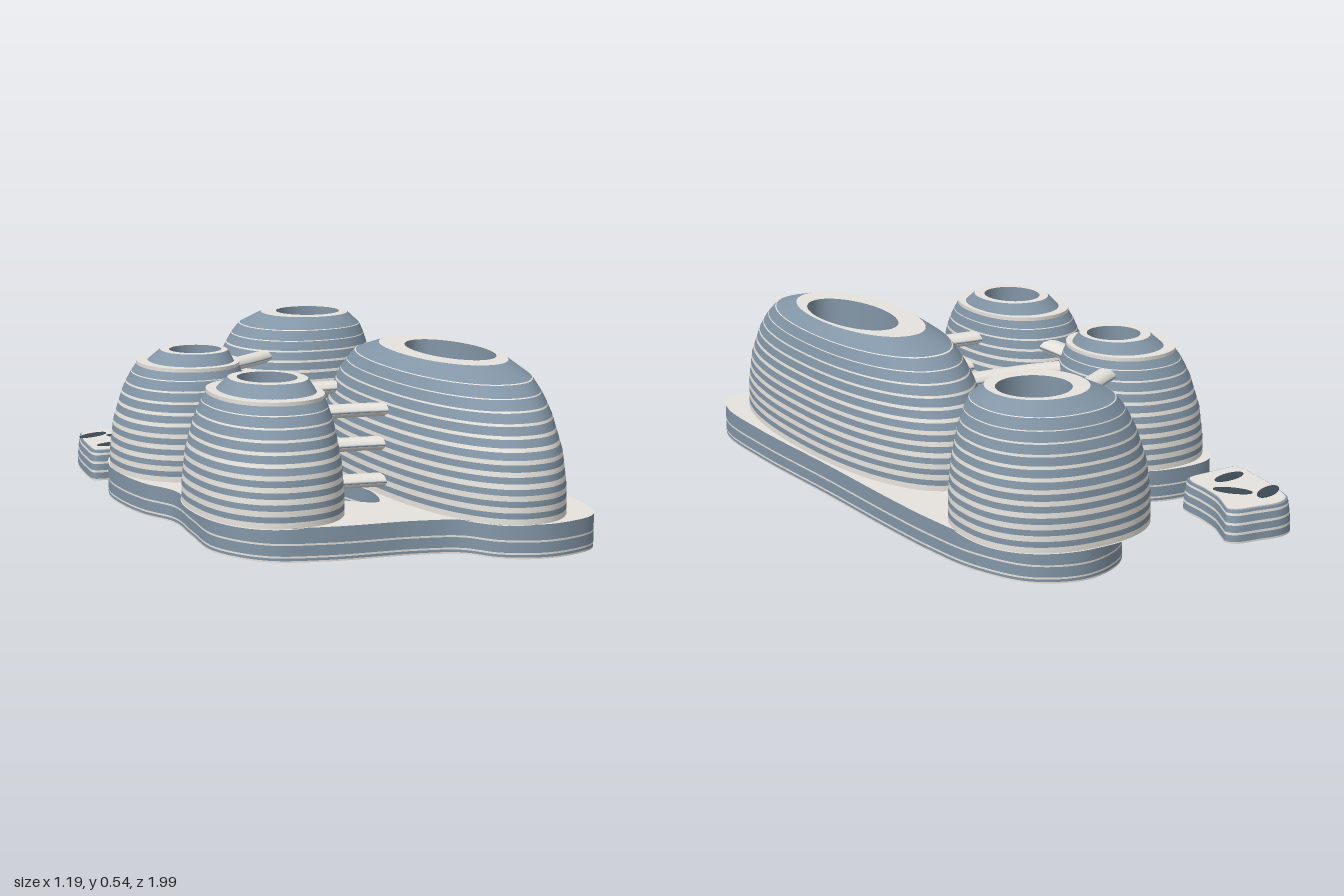
import * as THREE from 'three';

const mat = (name, color) => {
  const m = new THREE.MeshStandardMaterial({ color, side: THREE.DoubleSide });
  m.name = name;
  return m;
};

export function createModel() {
  const group = new THREE.Group();
  const glass = mat('blue glass', 0x8396a7);
  const slab = mat('pale slab', 0xe6e2dc);
  const dark = mat('dark glazing', 0x3c4a54);
  const BASE = 0.107;

  const add = (name, geo, material, parent = group) => {
    const m = new THREE.Mesh(geo, material);
    m.name = name;
    parent.add(m);
    return m;
  };
  const part = (name) => {
    const g = new THREE.Group();
    g.name = name;
    group.add(g);
    return g;
  };

  // Plan shapes: [x, z] points, drawn with z flipped so extrusion rises along y
  const spline = (pts) => new THREE.CatmullRomCurve3(
    pts.map(([x, z]) => new THREE.Vector3(x, -z, 0)), true, 'centripetal')
    .getPoints(pts.length * 8).slice(0, -1).map((p) => new THREE.Vector2(p.x, p.y));
  const raise = (shape, y0, y1) => new THREE.ExtrudeGeometry(shape,
    { depth: y1 - y0, bevelEnabled: false, curveSegments: 16 }).rotateX(-Math.PI / 2).translate(0, y0, 0);

  // Open wall strip between two matching closed outlines
  const wall = (low, high, y0, y1) => {
    const n = low.length, idx = [];
    const pos = [...low.map((p) => [p.x, y0, -p.y]), ...high.map((p) => [p.x, y1, -p.y])].flat();
    for (let i = 0; i < n; i++) {
      const j = (i + 1) % n;
      idx.push(i, j, n + i, j, n + j, n + i);
    }
    const geo = new THREE.BufferGeometry();
    geo.setAttribute('position', new THREE.Float32BufferAttribute(pos, 3));
    geo.setIndex(idx);
    geo.computeVertexNormals();
    return geo;
  };

  // Podium: a hollow deck with two courtyards, its walls banded in glass and slab
  const outline = spline([
    [-0.58, -0.38], [-0.51, -0.52], [-0.36, -0.54], [-0.24, -0.5], [-0.17, -0.42], [-0.08, -0.44], [-0.02, -0.54],
    [0.02, -0.72], [0.12, -0.9], [0.29, -0.965], [0.44, -0.9], [0.53, -0.72], [0.56, -0.52], [0.572, -0.3], [0.58, 0.1],
    [0.595, 0.55], [0.58, 0.84], [0.53, 0.945], [0.45, 0.985], [0.33, 0.995], [0.21, 0.94], [0.13, 0.84], [0, 0.795],
    [-0.28, 0.755], [-0.45, 0.69], [-0.55, 0.52], [-0.54, 0.3], [-0.525, 0.1], [-0.575, -0.04], [-0.595, -0.22]]);
  const courts = [
    [[0.03, -0.43], [0.1, -0.34], [0.13, -0.25], [0.09, -0.14], [-0.02, -0.11], [-0.11, -0.14], [-0.11, -0.3], [-0.05, -0.42]],
    [[-0.04, 0.02], [0.01, 0.08], [0.03, 0.22], [0.05, 0.36], [0.03, 0.47], [0, 0.52], [-0.08, 0.46], [-0.14, 0.34], [-0.11, 0.17], [-0.08, 0.06]],
  ].map(spline);
  const podium = part('podium');
  const deck = new THREE.Shape(outline);
  deck.holes = courts.map((c) => new THREE.Path(c));
  add('podiumDeck', raise(deck, 0.1, BASE), [slab, glass], podium);
  const levels = [0, 0.005, 0.013, 0.019, 0.052, 0.058, 0.1];
  for (const loop of [outline, ...courts]) {
    for (let i = 0; i < 6; i++) {
      add('podiumWall', wall(loop, loop, levels[i], levels[i + 1]), i % 2 ? glass : slab, podium);
    }
  }

  // Loft of superellipse bands; every band is [lower ring, upper ring, material index]
  const SEG = 72;
  const pw = (v, e) => Math.sign(v) * Math.abs(v) ** e;
  const loft = (bands) => {
    const pos = [], idx = [], geo = new THREE.BufferGeometry();
    bands.forEach(([lo, hi, material], b) => {
      const o = b * SEG * 2;
      for (const r of [lo, hi]) {
        for (let i = 0; i < SEG; i++) {
          const a = (i / SEG) * Math.PI * 2;
          pos.push(r.cx + r.rx * pw(Math.cos(a), r.e), r.y, r.cz + r.rz * pw(Math.sin(a), r.e));
        }
      }
      geo.addGroup(idx.length, SEG * 6, material);
      for (let i = 0; i < SEG; i++) {
        const j = (i + 1) % SEG;
        idx.push(o + i, o + SEG + i, o + j, o + j, o + SEG + i, o + SEG + j);
      }
    });
    geo.setAttribute('position', new THREE.Float32BufferAttribute(pos, 3));
    geo.setIndex(idx);
    geo.computeVertexNormals();
    return geo;
  };

  // Blend from base ellipse to roof ellipse, by depth below the roof
  const PROFILE = [[0, 1], [0.04, 0.58], [0.085, 0.4], [0.14, 0.26], [0.24, 0.09], [0.34, 0.02], [0.5, 0]];
  const blend = (d) => {
    const k = Math.max(1, PROFILE.findIndex((p) => p[0] >= d));
    const [d0, w0] = PROFILE[k - 1], [d1, w1] = PROFILE[k];
    return THREE.MathUtils.mapLinear(d, d0, d1, w0, w1);
  };

  // Towers: base, roof and opening are [cx, cz, rx, rz], squarer toward the base
  const tower = (name, top, base, roof, hole, ledge) => {
    const ring = (y, [cx, cz, rx, rz], e, s = 1) => ({ y, cx, cz, rx: rx * s, rz: rz * s, e });
    const at = (y, w) => ring(y, base.map((v, i) => THREE.MathUtils.lerp(v, roof[i], w)), 0.87 + 0.08 * w);
    const shell = (y) => at(y, blend(top - y));
    const bands = [[ring(BASE - 0.002, base, 0.87, 0), ring(BASE - 0.002, base, 0.87), 1]];
    const end = top - 0.04, n = Math.round((end - BASE) / 0.036), step = (end - BASE) / n;
    for (let i = 0; i < n; i++) {
      const y0 = BASE + i * step, y2 = y0 + step;
      const y1 = y0 + step * THREE.MathUtils.lerp(0.5, 0.08, (i / (n - 1)) ** 1.8);
      bands.push([shell(y0), shell(y1), 1], [shell(y1), shell(y2), 0]);
    }
    // Upper storey, with a projecting ledge on the smaller towers
    if (ledge) {
      const a = at(end - 0.008, 0.54), b = at(end + 0.004, 0.54), c = at(end + 0.004, 0.76);
      bands.push([shell(end - 0.008), a, 1], [a, b, 1], [b, c, 1], [c, at(top, 1), 0]);
    } else {
      bands.push([shell(end), shell(end + 0.002), 1], [shell(end + 0.002), at(top, 1), 0]);
    }
    // Roof ring, light well and its floor
    bands.push([at(top, 1), ring(top, hole, 1), 1], [ring(top, hole, 1), ring(0.13, hole, 1), 0],
      [ring(0.13, hole, 1), ring(0.13, hole, 1, 0), 2]);
    add(name, loft(bands), [glass, slab, dark]);
  };
  tower('longTower', 0.54, [0.315, 0.322, 0.26, 0.667], [0.337, 0.305, 0.155, 0.335], [0.363, 0.31, 0.115, 0.235]);
  tower('backTower', 0.54, [0.249, -0.705, 0.304, 0.286], [0.297, -0.705, 0.157, 0.157], [0.315, -0.715, 0.116, 0.116]);
  tower('middleTower', 0.505, [-0.362, -0.257, 0.233, 0.272], [-0.315, -0.25, 0.112, 0.122], [-0.31, -0.25, 0.088, 0.09], true);
  tower('frontTower', 0.505, [-0.348, 0.407, 0.229, 0.332], [-0.31, 0.37, 0.122, 0.14], [-0.31, 0.365, 0.093, 0.106], true);

  // Footbridges: flattened tubes with a thin glazed strip, fanning out toward the lower levels
  const bridges = [
    ['backBridge', [-0.22, -0.36], [-0.05, -0.45], [0.1, -0.57], 0.075, [0.41, 0.265, 0.145], -0.012],
    ['middleBridge', [-0.21, -0.12], [-0.04, -0.075], [0.16, -0.08], 0.085, [0.37, 0.225, 0.155], 0.012],
    ['frontBridge', [-0.2, 0.345], [-0.03, 0.345], [0.15, 0.395], 0.085, [0.375, 0.27, 0.155], 0.024],
    ['sideBridge', [-0.31, -0.04], [-0.32, 0.05], [-0.31, 0.17], 0.085, [0.37, 0.265, 0.155], 0],
  ];
  for (const [name, a, m, b, width, heights, shift] of bridges) {
    const set = part(name);
    const curve = new THREE.QuadraticBezierCurve3(...[a, m, b].map(([x, z]) => new THREE.Vector3(x, 0, z)));
    heights.forEach((y, i) => {
      const tube = (w, h) => new THREE.TubeGeometry(curve, 14, w / 2, 10).scale(1, h / w, 1).translate(0, y, i * shift);
      add('bridgeTube', tube(width, 0.044), slab, set);
      add('bridgeGlazing', tube(width + 0.004, 0.014), glass, set);
    });
  }

  // Small hollow pavilion behind the towers, stepping in toward its roof
  const pavilion = part('pavilion');
  const plan = [[-0.555, -0.615], [-0.55, -0.72], [-0.525, -0.87], [-0.49, -0.965], [-0.435, -0.993], [-0.34, -0.982],
    [-0.27, -0.968], [-0.25, -0.945], [-0.262, -0.91], [-0.295, -0.83], [-0.312, -0.73], [-0.318, -0.65],
    [-0.335, -0.617], [-0.44, -0.606], [-0.535, -0.604]];
  const scaled = (s) => spline(plan.map(([x, z]) => [-0.41 + (x + 0.41) * s, -0.8 + (z + 0.8) * s]));
  const steps = [0, 0.006, 0.028, 0.036, 0.058, 0.066, 0.088, 0.096, 0.104];
  const inset = (y) => 1 - 6 * y * y;
  for (let i = 0; i < 8; i++) {
    const [y0, y1] = [steps[i], steps[i + 1]];
    add('pavilionWall', wall(scaled(inset(y0)), scaled(inset(y1)), y0, y1), i % 2 ? glass : slab, pavilion);
  }
  add('pavilionRim', raise(new THREE.Shape(scaled(inset(0.104))), 0.098, 0.104), glass, pavilion);
  add('pavilionRoof', raise(new THREE.Shape(scaled(0.89)), 0.102, 0.107), slab, pavilion);
  for (const [x, z, turn] of [[-0.467, -0.878, 0.5], [-0.378, -0.812, -0.9], [-0.452, -0.7, 0.2]]) {
    const light = new THREE.Shape().absellipse(x, -z, 0.064, 0.027, 0, Math.PI * 2, false, turn);
    add('roofLight', raise(light, 0.106, 0.109), dark, pavilion);
  }

  return group;
}
